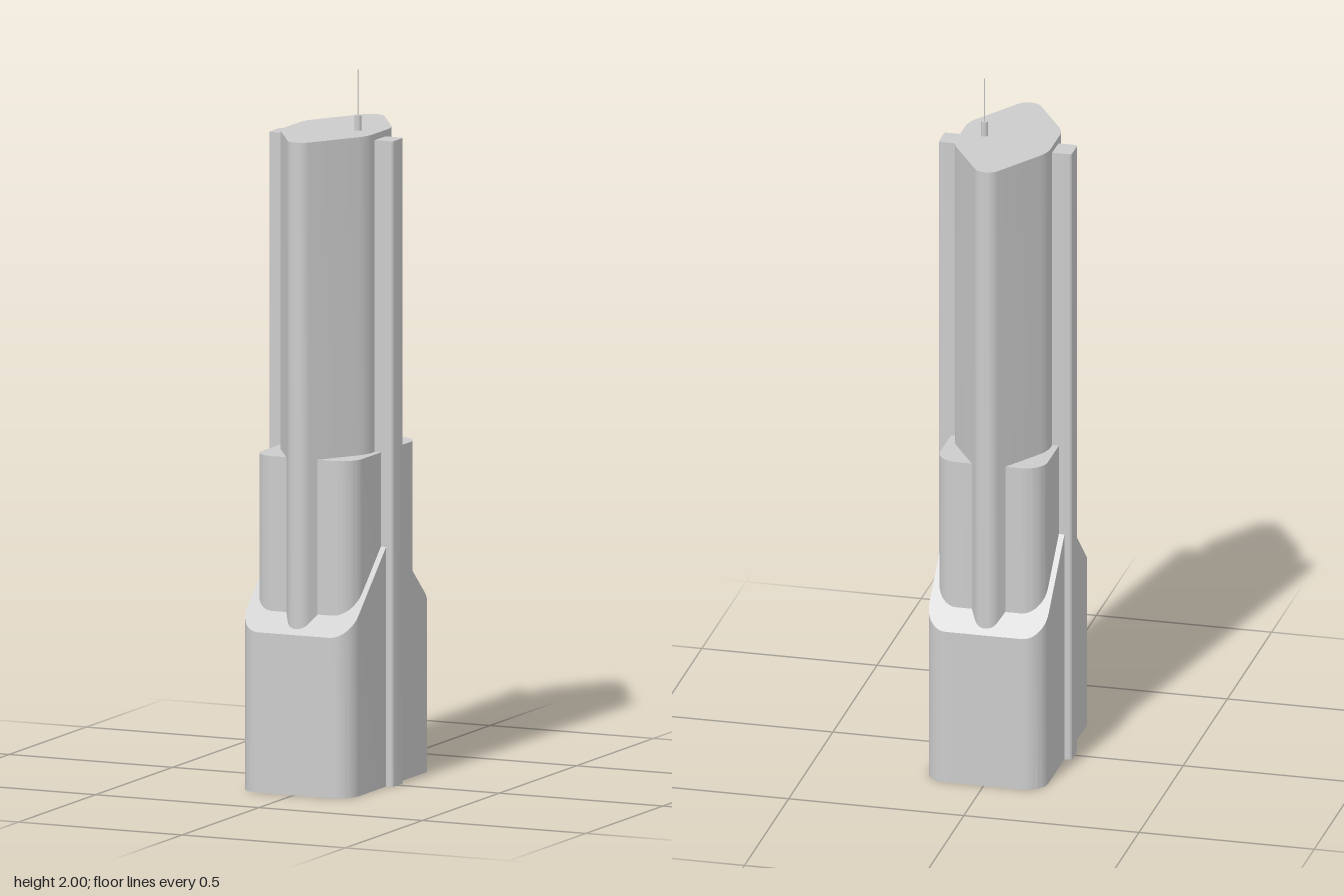
import * as THREE from 'three';
import { toCreasedNormals } from 'three/addons/utils/BufferGeometryUtils.js';

const material = new THREE.MeshStandardMaterial({ color: 0xcccccc });

// Rounded rectangle in plan, half sizes w and d
function roundedRect(w, d, r) {
  const s = new THREE.Shape();
  s.absarc(w - r, d - r, r, 0, Math.PI / 2);
  s.absarc(r - w, d - r, r, Math.PI / 2, Math.PI);
  s.absarc(r - w, r - d, r, Math.PI, Math.PI * 1.5);
  s.absarc(w - r, r - d, r, Math.PI * 1.5, Math.PI * 2);
  s.closePath();
  return s;
}

// Raise a plan shape from y0 to y1; topAt(z) may slope the top
function raise(shape, y0, y1, topAt) {
  const g = new THREE.ExtrudeGeometry(shape, { depth: y1 - y0, bevelEnabled: false, curveSegments: 10 });
  g.rotateX(-Math.PI / 2).translate(0, y0, 0);
  if (topAt) {
    const p = g.attributes.position;
    for (let i = 0; i < p.count; i++) {
      if (p.getY(i) > y1 - 1e-4) p.setY(i, topAt(p.getZ(i)));
    }
  }
  g.deleteAttribute('normal');
  return toCreasedNormals(g, 0.5);
}

export function createModel() {
  const model = new THREE.Group();
  const add = (name, geometry, parent = model) => {
    const mesh = new THREE.Mesh(geometry, material);
    mesh.name = name;
    parent.add(mesh);
    return mesh;
  };

  // Podium: two mirrored halves whose roofs rise to a central ridge
  const W = 0.17, D = 0.277, R = 0.062;
  const half = new THREE.Shape();
  half.moveTo(-W, 0);
  half.lineTo(W, 0);
  half.absarc(W - R, D - R, R, 0, Math.PI / 2);
  half.absarc(R - W, D - R, R, Math.PI / 2, Math.PI);
  half.closePath();
  const podium = raise(half, 0, 0.45, z => 0.45 + (D - Math.abs(z)) * 0.92);
  add('podiumBack', podium);
  add('podiumFront', podium).rotation.y = Math.PI;

  // Middle block
  add('middleBlock', raise(roundedRect(0.154, 0.22, 0.063), 0.3, 0.937));

  // Tower: lozenge plan with softened corners
  const t = new THREE.Shape();
  t.moveTo(0.135, -0.05);
  t.lineTo(0.135, 0.05);
  t.quadraticCurveTo(0.135, 0.079, 0.12, 0.105);
  t.lineTo(0.034, 0.242);
  t.bezierCurveTo(0.021, 0.268, -0.021, 0.268, -0.034, 0.242);
  t.lineTo(-0.12, 0.105);
  t.quadraticCurveTo(-0.135, 0.079, -0.135, 0.05);
  t.lineTo(-0.135, -0.05);
  t.quadraticCurveTo(-0.135, -0.079, -0.12, -0.105);
  t.lineTo(-0.034, -0.242);
  t.bezierCurveTo(-0.021, -0.268, 0.021, -0.268, 0.034, -0.242);
  t.lineTo(0.12, -0.105);
  t.quadraticCurveTo(0.135, -0.079, 0.135, -0.05);
  add('tower', raise(t, 0.3, 1.83));

  // Side fins running the full height
  for (const side of [-1, 1]) {
    const fin = add(side > 0 ? 'leftFin' : 'rightFin', raise(roundedRect(0.035, 0.035, 0.007), 0, 1.812));
    fin.position.x = side * 0.155;
  }

  // Roof mast: short socket and thin needle
  const mast = new THREE.Group();
  mast.name = 'mast';
  mast.position.x = 0.067;
  model.add(mast);
  add('mastSocket', new THREE.CylinderGeometry(0.01, 0.01, 0.05, 16), mast).position.y = 1.847;
  add('mastNeedle', new THREE.CylinderGeometry(0.0012, 0.0012, 0.14, 8), mast).position.y = 1.93;

  return model;
}
